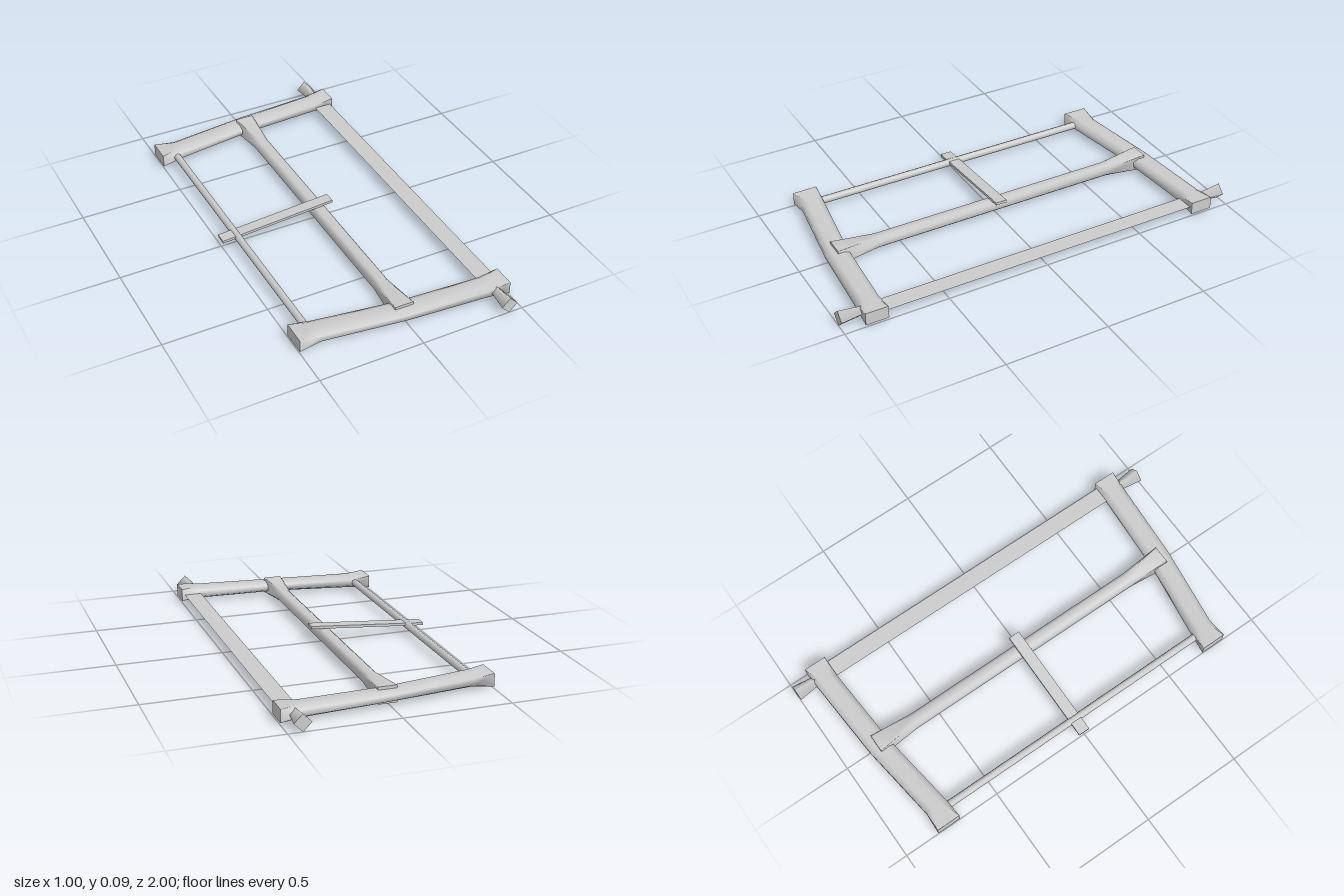
import * as THREE from 'three';

const material = new THREE.MeshStandardMaterial({ color: 0xcccccc, side: THREE.DoubleSide });
const MID_Y = 0.043;

// Bar along x with eight-cornered sections; station = [x, z, half height, half depth, corner cut 0..1]
function barGeometry(stations) {
  const positions = [], index = [];
  const ring = ([x, z, h, d, c]) => {
    const a = 1 - c;
    return [[1, a], [a, 1], [-a, 1], [-1, a], [-1, -a], [-a, -1], [a, -1], [1, -a]]
      .map(([u, v]) => [x, u * h, z + v * d]);
  };
  const rings = stations.map(ring);
  rings.forEach((r) => r.forEach((p) => positions.push(...p)));
  for (let i = 0; i < rings.length - 1; i++) {
    for (let k = 0; k < 8; k++) {
      const a = i * 8 + k, b = i * 8 + (k + 1) % 8;
      index.push(a, b, a + 8, b, b + 8, a + 8);
    }
  }
  // Flat end caps with their own vertices
  [rings[0], rings[rings.length - 1]].forEach((r, end) => {
    const base = positions.length / 3;
    r.forEach((p) => positions.push(...p));
    for (let k = 1; k < 7; k++) {
      if (end) index.push(base, base + k, base + k + 1);
      else index.push(base, base + k + 1, base + k);
    }
  });
  const geometry = new THREE.BufferGeometry();
  geometry.setAttribute('position', new THREE.Float32BufferAttribute(positions, 3));
  geometry.setIndex(index);
  geometry.computeVertexNormals();
  return geometry;
}

export function createModel() {
  const group = new THREE.Group();
  const add = (name, geometry, x, y, z) => {
    const mesh = new THREE.Mesh(geometry, material);
    mesh.name = name;
    mesh.position.set(x, y, z);
    group.add(mesh);
    return mesh;
  };

  for (const s of [1, -1]) {
    const side = s > 0 ? 'front' : 'back';

    // Bent side arms, square at the tips and rounded between
    const stations = [
      [-0.5, 0.762, 0.031, 0.06, 0.05],
      [-0.4, 0.764, 0.03, 0.054, 0.5],
      [0, 0.82, 0.0255, 0.053, 0.5],
      [0.4, 0.847, 0.03, 0.053, 0.5],
      [0.5, 0.849, 0.031, 0.055, 0.05],
    ].map(([x, z, ...rest]) => [x, s * z, ...rest]);
    add(side + 'Arm', barGeometry(stations), 0, MID_Y, -0.003);

    // Four-sided flared knobs that hold the blade
    const knob = new THREE.CylinderGeometry(0.04, 0.021, 0.14, 4);
    knob.rotateX(s * Math.PI / 2);
    add(side + 'Knob', knob, 0.434, MID_Y, s * 0.93);
  }

  // Central stretcher with flared ends overlapping the arms
  const stretcher = barGeometry([
    [-0.828, 0, 0.04, 0.045, 0.05],
    [-0.62, 0, 0.029, 0.034, 0.5],
    [0.62, 0, 0.029, 0.034, 0.5],
    [0.828, 0, 0.04, 0.045, 0.05],
  ]);
  stretcher.rotateY(Math.PI / 2);
  add('stretcher', stretcher, 0.002, MID_Y, -0.003);

  // Flat blade
  const blade = new THREE.PlaneGeometry(0.085, 1.62);
  blade.rotateX(-Math.PI / 2);
  add('blade', blade, 0.443, MID_Y, 0);

  // Tension cord
  const cord = new THREE.CylinderGeometry(0.018, 0.018, 1.46, 8);
  cord.rotateX(Math.PI / 2);
  add('tensionCord', cord, -0.422, MID_Y, -0.003);

  // Tilted toggle resting on the stretcher
  const toggle = add('toggle', new THREE.BoxGeometry(0.572, 0.013, 0.056), -0.215, 0.0645, -0.003);
  toggle.rotation.z = 0.077;

  return group;
}
